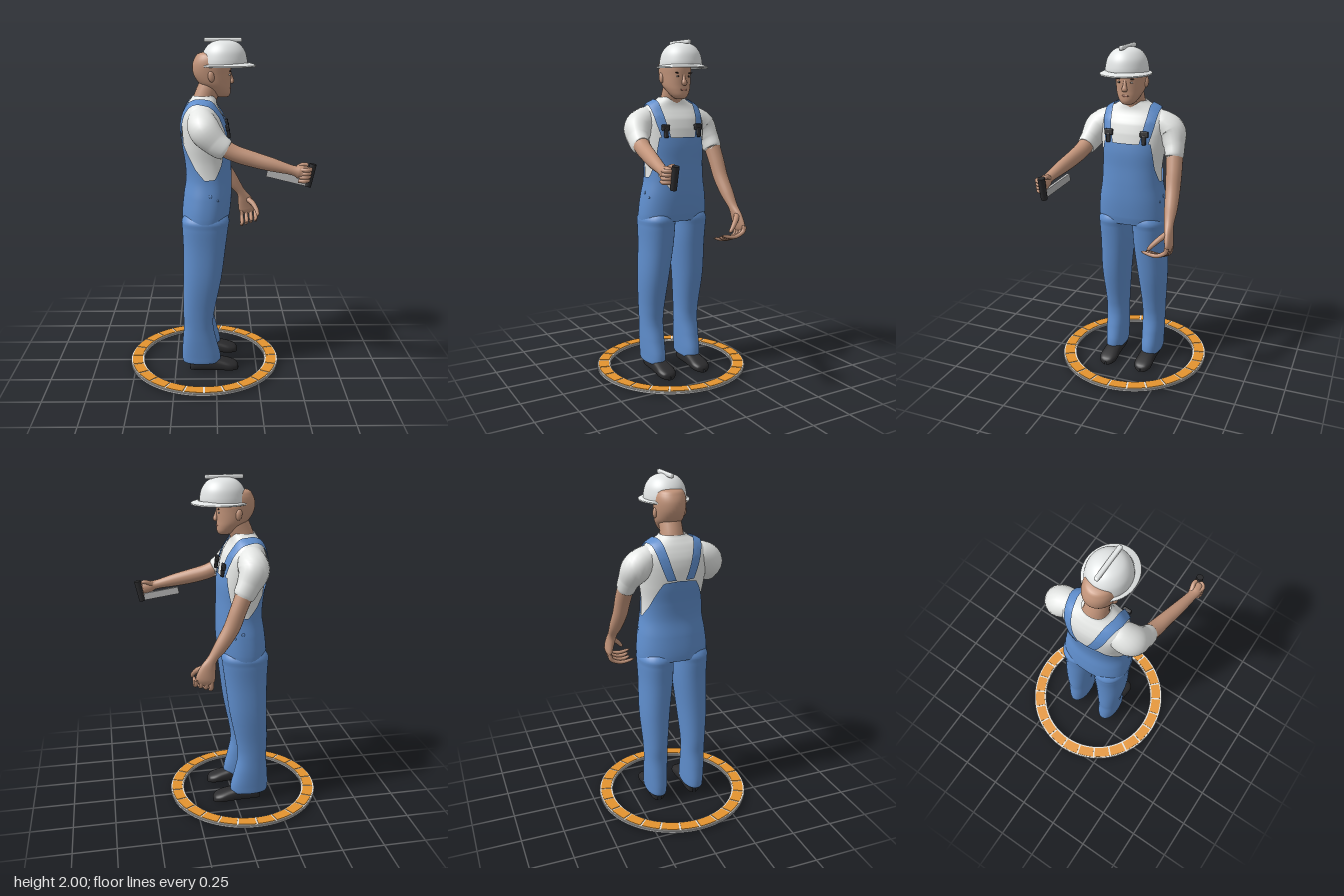
import * as THREE from 'three';
import { ParametricGeometry } from 'three/addons/geometries/ParametricGeometry.js';
import { RoundedBoxGeometry } from 'three/addons/geometries/RoundedBoxGeometry.js';

const mat = (name, color, side = THREE.FrontSide) => {
  const m = new THREE.MeshStandardMaterial({ color, side });
  m.name = name;
  return m;
};

// Catmull-Rom sample of column c in a table of rows, t in 0..rows-1
function column(rows, c, t) {
  const n = rows.length - 1, i = Math.min(Math.floor(t), n - 1), f = t - i;
  const p = (k) => rows[Math.max(0, Math.min(n, k))][c];
  const a = (p(i + 1) - p(i - 1)) / 2, b = (p(i + 2) - p(i)) / 2, d = p(i + 1) - p(i);
  return p(i) + a * f + (3 * d - 2 * a - b) * f * f + (a + b - 2 * d) * f * f * f;
}
const spow = (v, e) => Math.sign(v) * Math.pow(Math.abs(v), e);
const lerpTable = (table, x) => {
  let i = 0;
  while (i < table.length - 2 && x > table[i + 1][0]) i++;
  const [x0, y0] = table[i], [x1, y1] = table[i + 1];
  return y0 + (y1 - y0) * Math.min(1, (x - x0) / (x1 - x0));
};

// Upright body of rounded sections; rows are [y, centreX, centreZ, radiusX, radiusZ]
function loft(rows, power = 2, stacks = 40) {
  const n = rows.length - 1;
  return new ParametricGeometry((u, v, p) => {
    const a = u * Math.PI * 2, c = [0, 1, 2, 3, 4].map((k) => column(rows, k, v * n));
    p.set(c[1] + c[3] * spow(Math.cos(a), 2 / power), c[0], c[2] - c[4] * spow(Math.sin(a), 2 / power));
  }, 36, stacks);
}

// Bent limb; rows are [x, y, z, radius, radius across]
function limb(rows, { ref = new THREE.Vector3(0, 0, 1), round = false, sides = 20, stacks = 28 } = {}) {
  const curve = new THREE.CatmullRomCurve3(rows.map((r) => new THREE.Vector3(r[0], r[1], r[2])), false, 'catmullrom');
  const full = rows.map((r) => [r[3], r[4] ?? r[3]]), n = rows.length - 1;
  return new ParametricGeometry((u, v, p) => {
    const T = curve.getTangent(v), B = T.clone().cross(ref).normalize(), N = T.clone().cross(B);
    const k = round && v > 0.85 ? Math.sqrt(Math.max(0.001, 1 - ((v - 0.85) / 0.15) ** 2)) : 1;
    const a = u * Math.PI * 2;
    p.copy(curve.getPoint(v)).addScaledVector(B, Math.cos(a) * column(full, 0, v * n) * k)
      .addScaledVector(N, Math.sin(a) * column(full, 1, v * n) * k);
  }, sides, stacks);
}

// Torso sections: [y, centreX, radiusX, radiusZ]
const TORSO = [[0.93, -0.065, 0.127, 0.202], [1.0, -0.059, 0.134, 0.203], [1.1, -0.05, 0.133, 0.193],
  [1.2, -0.043, 0.126, 0.176], [1.3, -0.048, 0.127, 0.175], [1.4, -0.057, 0.134, 0.188], [1.5, -0.068, 0.13, 0.2],
  [1.56, -0.075, 0.118, 0.202], [1.6, -0.08, 0.1, 0.188], [1.63, -0.08, 0.086, 0.155], [1.66, -0.073, 0.074, 0.1],
  [1.68, -0.068, 0.066, 0.074]];
const POWER = 2.3;
function torsoAt(y) {
  let i = 0;
  while (i < TORSO.length - 2 && y > TORSO[i + 1][0]) i++;
  const t = Math.max(0, Math.min(TORSO.length - 1, i + (y - TORSO[i][0]) / (TORSO[i + 1][0] - TORSO[i][0])));
  return [1, 2, 3].map((c) => column(TORSO, c, t));
}
function torsoPoint(a, y, off, p) {
  const [cx, rx, rz] = torsoAt(y);
  return p.set(cx + (rx + off) * spow(Math.cos(a), 2 / POWER), y, -(rz + off) * spow(Math.sin(a), 2 / POWER));
}
// Point on the torso in a plane of constant z, angle phi from front over the shoulder to the back
function shoulderPoint(z, phi, off, p) {
  const inside = (x, y) => {
    if (y > 1.68) return false;
    const [cx, rx, rz] = torsoAt(y);
    return Math.abs((x - cx) / rx) ** POWER + Math.abs(z / rz) ** POWER < 1;
  };
  let lo = 0, hi = 0.4;
  for (let k = 0; k < 26; k++) {
    const r = (lo + hi) / 2;
    if (inside(-0.07 + r * Math.cos(phi), 1.45 + r * Math.sin(phi))) lo = r; else hi = r;
  }
  return p.set(-0.07 + (lo + off) * Math.cos(phi), 1.45 + (lo + off) * Math.sin(phi), z);
}

export function createModel() {
  const root = new THREE.Group();
  const skin = mat('skin', 0xc2947a), white = mat('shirtWhite', 0xe6e8e6, THREE.DoubleSide);
  const blue = mat('denimBlue', 0x5f8ecd, THREE.DoubleSide), black = mat('black', 0x2b2b2d);
  const orange = mat('orange', 0xe4942f), pale = mat('paleGrey', 0xe2dfd8), grey = mat('midGrey', 0xb6b6b6);
  const helmet = mat('helmetWhite', 0xe3e6e6, THREE.DoubleSide), brown = mat('browBrown', 0x3a2a22), lip = mat('lip', 0xa87260);
  const add = (name, geo, m, x = 0, y = 0, z = 0, parent = root) => {
    const mesh = new THREE.Mesh(geo, m);
    mesh.name = name;
    mesh.position.set(x, y, z);
    parent.add(mesh);
    return mesh;
  };
  const blob = (name, m, x, y, z, sx, sy, sz) => {
    const b = add(name, new THREE.SphereGeometry(1, 20, 14), m, x, y, z);
    b.scale.set(sx, sy, sz);
    return b;
  };

  // Floor ring with 24 tiles
  const ring = new THREE.Group();
  ring.name = 'floorRing';
  ring.position.x = -0.075;
  root.add(ring);
  const band = (r0, r1, y0, y1) => {
    const g = new THREE.LatheGeometry(
      [[r0, y0], [r1, y0], [r1, y1], [r0, y1], [r0, y0]].map((p) => new THREE.Vector2(...p)), 96).toNonIndexed();
    g.computeVertexNormals();
    return g;
  };
  add('ringBase', band(0.38, 0.465, 0.01, 0.022), grey, 0, 0, 0, ring);
  add('ringTop', band(0.385, 0.461, 0.022, 0.026), pale, 0, 0, 0, ring);
  const step = Math.PI / 12, gap = 0.013;
  const tile = new THREE.Shape();
  tile.absarc(0, 0, 0.454, gap, step - gap, false);
  tile.absarc(0, 0, 0.392, step - gap, gap, true);
  const tileGeo = new THREE.ExtrudeGeometry(tile, { depth: 0.006, bevelEnabled: false, curveSegments: 6 });
  tileGeo.rotateX(-Math.PI / 2);
  for (let i = 0; i < 24; i++) add('ringTile', tileGeo, orange, 0, 0.0235, 0, ring).rotation.y = i * step;

  // Shirt body
  add('shirt', new ParametricGeometry((u, v, p) => torsoPoint(u * 2 * Math.PI, 1.15 + 0.53 * v, 0, p), 48, 40), white);

  // Overalls: one sheet whose top edge follows bib, armhole and back panel
  const TOP = [[0, 1.45], [0.74, 1.45], [0.78, 1.42], [1.03, 1.3], [1.35, 1.22], [1.7, 1.215], [2.1, 1.28],
    [2.5, 1.38], [2.7, 1.43], [3.15, 1.44]];
  add('overallsBody', new ParametricGeometry((u, v, p) => {
    const a = u * Math.PI * 2, top = lerpTable(TOP, Math.min(a, Math.PI * 2 - a));
    torsoPoint(a, 0.955 + (top - 0.955) * v, 0.009, p);
  }, 96, 40), blue);
  blob('overallsSeat', blue, -0.063, 0.965, 0, 0.13, 0.022, 0.17);

  for (const s of [1, -1]) {
    // Trouser legs
    add('trouserLeg', loft([[0.075, -0.09, 0.122 * s, 0.09, 0.045], [0.06, -0.09, 0.122 * s, 0.114, 0.06],
      [0.11, -0.093, 0.122 * s, 0.117, 0.064], [0.2, -0.102, 0.123 * s, 0.103, 0.067], [0.3, -0.108, 0.123 * s, 0.089, 0.069],
      [0.4, -0.105, 0.123 * s, 0.095, 0.073], [0.6, -0.083, 0.12 * s, 0.113, 0.089], [0.8, -0.07, 0.108 * s, 0.126, 0.099],
      [0.92, -0.065, 0.107 * s, 0.136, 0.104], [0.97, -0.062, 0.106 * s, 0.138, 0.103], [1.03, -0.056, 0.09 * s, 0.1, 0.075]], 2.2), blue);
    // Shoes
    const SHOE = [[-0.163, 0.035, 0.01], [-0.155, 0.06, 0.035], [-0.12, 0.08, 0.046], [-0.04, 0.09, 0.048],
      [0.03, 0.076, 0.052], [0.085, 0.06, 0.055], [0.12, 0.046, 0.042], [0.134, 0.032, 0.022], [0.137, 0.02, 0.004]];
    add('shoe', new ParametricGeometry((u, v, p) => {
      const a = u * Math.PI * 2, [x, h, w] = [0, 1, 2].map((c) => column(SHOE, c, v * 8));
      p.set(x, h / 2 + h / 2 * spow(Math.sin(a), 0.75), -w * spow(Math.cos(a), 0.75));
    }, 28, 32), black, 0, 0, 0.118 * s);

    // Shoulder straps with buckles
    add('strap', new ParametricGeometry((u, v, p) => {
      const phi = v * (Math.PI + 0.04);
      const z = phi < Math.PI / 2 ? 0.105 + 0.033 * Math.sin(phi) : 0.055 + 0.083 * (1 - (phi - Math.PI / 2) / (Math.PI / 2));
      shoulderPoint(s * (z + (u - 0.5) * 0.052), phi, 0.013, p);
    }, 6, 40), blue);
    const at = shoulderPoint(0.108 * s, 0.33, 0.016, new THREE.Vector3());
    add('buckle', new RoundedBoxGeometry(0.02, 0.035, 0.05, 2, 0.006), black, at.x, at.y + 0.012, at.z).rotation.z = 0.15;
    add('buckleClip', new RoundedBoxGeometry(0.02, 0.055, 0.024, 2, 0.006), black, at.x + 0.006, at.y - 0.02, at.z).rotation.z = 0.1;
    // Hip buttons
    for (const [a, y, r] of [[1.5, 1.125, 0.01], [1.2, 1.1, 0.006]]) {
      const b = torsoPoint(a * s, y, 0.008, new THREE.Vector3());
      blob('hipButton', blue, b.x, b.y, b.z, r, r, 0.005);
    }
    // Ears, eyes and brows
    blob('ear', skin, -0.028, 1.79, 0.087 * s, 0.018, 0.031, 0.012).rotation.z = 0.15;
    blob('eyeWhite', pale, 0.0755, 1.797, 0.036 * s, 0.004, 0.005, 0.012).rotation.y = 0.4 * s;
    blob('iris', brown, 0.0775, 1.797, 0.035 * s, 0.004, 0.005, 0.006);
    blob('brow', brown, 0.0775, 1.816, 0.038 * s, 0.004, 0.004, 0.02).rotation.set(-0.12 * s, 0.4 * s, 0);
  }

  // Head, neck and face
  add('neck', limb([[-0.075, 1.6, 0, 0.075, 0.075], [-0.06, 1.67, 0, 0.067, 0.066], [-0.035, 1.73, 0, 0.066, 0.064],
    [-0.02, 1.78, 0, 0.06, 0.06]]), skin);
  add('head', loft([[1.668, 0.04, 0, 0.008, 0.006], [1.672, 0.038, 0, 0.032, 0.028], [1.69, 0.03, 0, 0.052, 0.049],
    [1.72, 0.012, 0, 0.072, 0.068], [1.75, -0.008, 0, 0.092, 0.08], [1.8, -0.022, 0, 0.108, 0.087],
    [1.85, -0.025, 0, 0.11, 0.09], [1.89, -0.026, 0, 0.095, 0.083], [1.915, -0.03, 0, 0.068, 0.062], [1.925, -0.03, 0, 0.01, 0.01]]), skin);
  add('nose', limb([[0.078, 1.81, 0, 0.008, 0.008], [0.086, 1.78, 0, 0.011, 0.011], [0.091, 1.758, 0, 0.012, 0.017],
    [0.083, 1.748, 0, 0.006, 0.01]], { round: true }), skin);
  blob('mouth', lip, 0.08, 1.722, 0, 0.006, 0.006, 0.022);
  blob('chin', skin, 0.06, 1.69, 0, 0.018, 0.018, 0.026);

  // Hard hat
  const lathe = (pts) => new THREE.LatheGeometry(new THREE.SplineCurve(pts.map((p) => new THREE.Vector2(...p))).getPoints(30), 48);
  add('hatDome', lathe([[1, 0], [0.98, 0.035], [0.88, 0.08], [0.65, 0.117], [0.35, 0.135], [0.001, 0.14]]),
    helmet, 0.047, 1.849, 0).scale.set(0.132, 1, 0.122);
  add('hatBrim', lathe([[0.76, 0.003], [0.97, -0.008], [1, -0.003], [0.97, 0.003], [0.76, 0.014]]),
    helmet, 0.064, 1.849, 0).scale.set(0.163, 1, 0.143);
  add('hatRidge', new RoundedBoxGeometry(0.216, 0.024, 0.025, 3, 0.009), helmet, 0.039, 1.988, 0);

  // Raised right arm
  add('rightSleeve', limb([[-0.08, 1.575, 0.09, 0.062, 0.062], [-0.082, 1.545, 0.165, 0.082, 0.08], [-0.06, 1.5, 0.222, 0.088, 0.086],
    [0, 1.44, 0.25, 0.072, 0.062], [0.05, 1.407, 0.26, 0.06, 0.052], [0.054, 1.405, 0.26, 0.042, 0.042]]), white);
  add('rightArm', limb([[0, 1.44, 0.252, 0.05], [0.1, 1.39, 0.267, 0.046], [0.2, 1.36, 0.284, 0.044, 0.04],
    [0.3, 1.335, 0.303, 0.038, 0.036], [0.41, 1.308, 0.32, 0.027, 0.029], [0.45, 1.298, 0.322, 0.036, 0.034],
    [0.49, 1.288, 0.322, 0.04, 0.03], [0.508, 1.284, 0.32, 0.024, 0.018]], { round: true }), skin);
  const xAxis = new THREE.Vector3(1, 0, 0), yAxis = new THREE.Vector3(0, 1, 0);
  for (let i = 0; i < 4; i++) {
    const y = 1.252 + i * 0.02, x = i * 0.004;
    add('rightFinger', limb([[0.445 + x, y, 0.342, 0.011], [0.48 + x, y, 0.35, 0.012], [0.5 + x, y, 0.328, 0.011],
      [0.49 + x, y, 0.295, 0.01]], { ref: yAxis, round: true, sides: 10, stacks: 14 }), skin);
  }
  add('rightThumb', limb([[0.44, 1.315, 0.305, 0.015], [0.475, 1.332, 0.295, 0.013], [0.505, 1.332, 0.3, 0.01]],
    { round: true, sides: 10, stacks: 14 }), skin);

  // Hand tool: dark grip and flat grey bar
  add('toolGrip', new THREE.CylinderGeometry(0.02, 0.018, 0.128, 20), black, 0.515, 1.275, 0.305).rotation.z = -0.2;
  add('toolBar', new THREE.BoxGeometry(0.23, 0.042, 0.016), grey, 0.39, 1.258, 0.286).rotation.set(0, -0.2, -0.2, 'YXZ');

  // Lowered left arm and open hand
  add('leftSleeve', limb([[-0.08, 1.575, -0.09, 0.062, 0.062], [-0.085, 1.545, -0.165, 0.082, 0.08], [-0.085, 1.5, -0.222, 0.088, 0.086],
    [-0.05, 1.43, -0.252, 0.069, 0.062], [-0.02, 1.375, -0.262, 0.06, 0.053], [-0.018, 1.371, -0.262, 0.042, 0.042]]), white);
  add('leftArm', limb([[-0.04, 1.42, -0.258, 0.05], [0.01, 1.3, -0.272, 0.047], [0.05, 1.2, -0.28, 0.046, 0.043],
    [0.11, 1.105, -0.29, 0.039, 0.038], [0.16, 1.035, -0.297, 0.028, 0.028], [0.187, 0.98, -0.305, 0.045, 0.025],
    [0.205, 0.92, -0.314, 0.056, 0.021], [0.212, 0.88, -0.314, 0.046, 0.016]], { round: true, stacks: 40 }), skin);
  for (let i = 0; i < 4; i++) {
    const x = 0.17 + i * 0.029, y = 0.01 * i, tip = -0.19 + 0.02 * Math.abs(i - 1.5);
    add('leftFinger', limb([[x, 0.91 + y / 2, -0.317, 0.014], [x, 0.862 + y, -0.308, 0.013], [x, 0.838 + y, -0.265, 0.012],
      [x - 0.004, 0.836 + y, -0.22, 0.011], [x - 0.006, 0.85 + y, tip, 0.009]],
      { ref: xAxis, round: true, sides: 10, stacks: 16 }), skin);
  }
  add('leftThumb', limb([[0.205, 0.985, -0.298, 0.018], [0.24, 0.96, -0.265, 0.016], [0.262, 0.925, -0.23, 0.013],
    [0.268, 0.895, -0.205, 0.01]], { ref: xAxis, round: true, sides: 10, stacks: 16 }), skin);

  return root;
}
